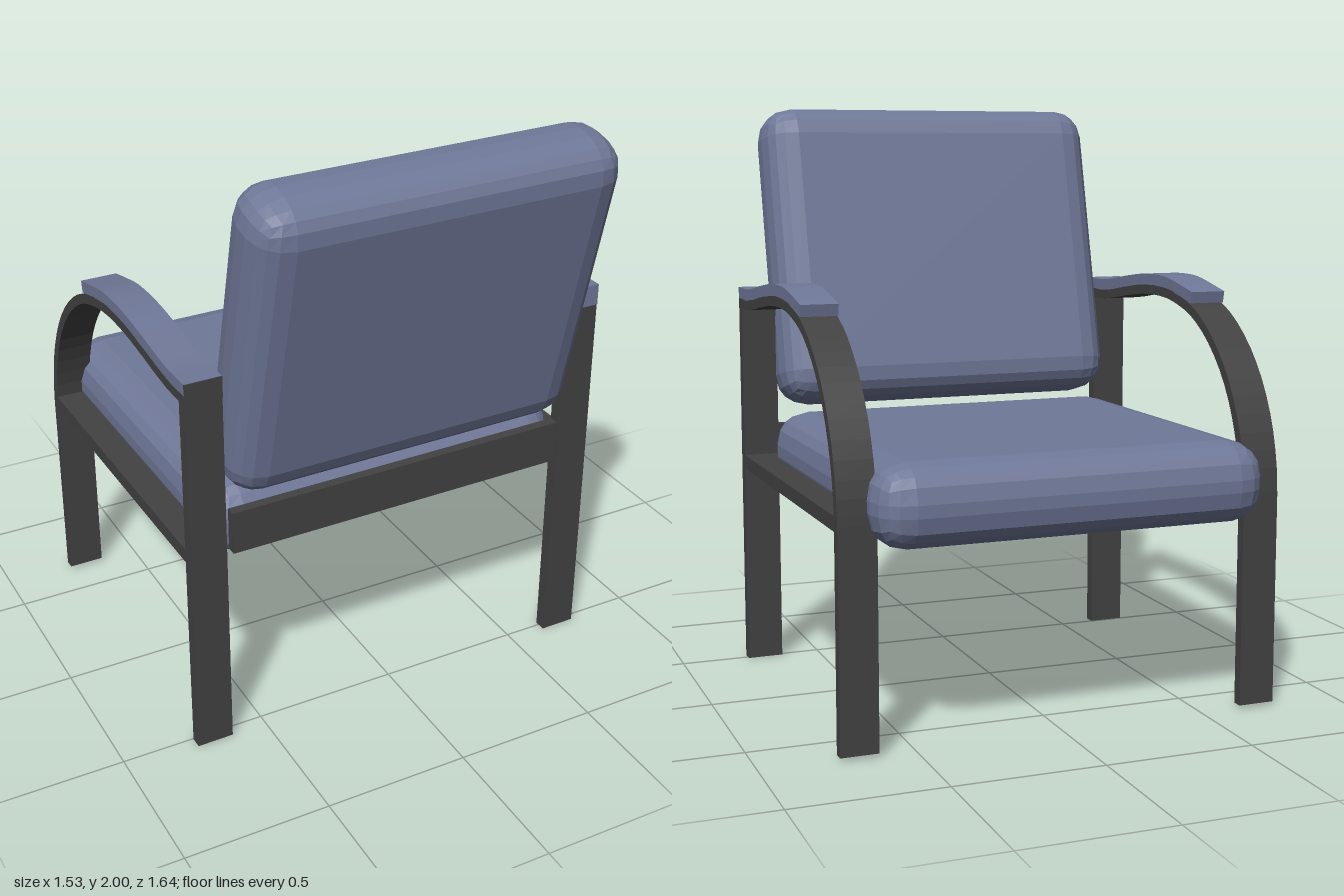
import * as THREE from 'three';
import { RoundedBoxGeometry } from 'three/addons/geometries/RoundedBoxGeometry.js';

const fabric = new THREE.MeshStandardMaterial({ color: 0x6f7898, flatShading: true });
const frame = new THREE.MeshStandardMaterial({ color: 0x424242, flatShading: true });

const ARM_X = 0.693, ARM_W = 0.126;

// Mesh with a name and a position
function part(name, geometry, material, x = 0, y = 0, z = 0) {
  const mesh = new THREE.Mesh(geometry, material);
  mesh.name = name;
  mesh.position.set(x, y, z);
  return mesh;
}

// Box given by its y and z limits
function bar(name, material, x, width, y0, y1, z0, z1) {
  const g = new THREE.BoxGeometry(width, y1 - y0, z1 - z0);
  return part(name, g, material, x, (y0 + y1) / 2, (z0 + z1) / 2);
}

// Flat strip: a side profile [z, y] thickened to its lower/inner side and extruded across x
function strip(name, material, points, thickness, x, width) {
  const curve = new THREE.CatmullRomCurve3(points.map(([z, y]) => new THREE.Vector3(z, y, 0)));
  const n = 26, outer = [], inner = [];
  for (let i = 0; i <= n; i++) {
    const p = curve.getPoint(i / n), t = curve.getTangent(i / n);
    outer.push(new THREE.Vector2(p.x, p.y));
    inner.push(new THREE.Vector2(p.x - t.y * thickness, p.y + t.x * thickness));
  }
  const shape = new THREE.Shape([...outer, ...inner.reverse()]);
  const g = new THREE.ExtrudeGeometry(shape, { depth: width, bevelEnabled: false });
  g.translate(0, 0, -width / 2).rotateY(-Math.PI / 2);
  return part(name, g, material, x);
}

// Outer line of the arm, from the back post over the top and down to the front leg
const armTop = [[0.535, 1.325], [0.4, 1.325], [0.2, 1.353], [0.05, 1.369], [-0.1, 1.367], [-0.2, 1.349], [-0.3, 1.318]];
const arc = [[-0.4, 1.262], [-0.5, 1.175], [-0.58, 1.07], [-0.64, 0.945], [-0.672, 0.82], [-0.681, 0.72]];
const padTop = armTop.map(([z, y]) => [z, y + 0.039]);
padTop[padTop.length - 1][1] = 1.366;

export function createModel() {
  const chair = new THREE.Group();
  chair.name = 'armchair';

  // Side frames with arm pads
  for (const side of [1, -1]) {
    const x = side * ARM_X;
    const g = new THREE.Group();
    g.name = side > 0 ? 'leftSide' : 'rightSide';
    g.add(bar('backLeg', frame, x, ARM_W, 0, 1.322, 0.494, 0.535));
    g.add(bar('frontLeg', frame, x, ARM_W, 0.012, 0.73, -0.681, -0.646));
    g.add(bar('sideRail', frame, x, ARM_W, 0.71, 0.758, -0.655, 0.5));
    g.add(strip('armBow', frame, [...armTop, ...arc], 0.034, x, ARM_W));
    g.add(strip('armPad', fabric, padTop, 0.04, x, ARM_W));
    g.add(bar('armEnd', side > 0 ? fabric : frame, x, ARM_W, 1.29, 1.363, 0.533, 0.538));
    chair.add(g);
  }

  // Rail between the back legs
  chair.add(bar('backRail', frame, 0.015, 1.24, 0.715, 0.865, 0.495, 0.53));

  // Cushions
  chair.add(part('seatCushion', new RoundedBoxGeometry(1.322, 0.27, 1.315, 2, 0.115), fabric, 0, 0.785, -0.158));
  const back = part('backCushion', new RoundedBoxGeometry(1.26, 1.082, 0.278, 2, 0.112), fabric, 0.005, 1.465, 0.575);
  back.rotation.x = 0.24;
  chair.add(back);

  // Slight turn of the whole chair
  chair.rotation.y = 0.011;
  const model = new THREE.Group();
  model.name = 'model';
  model.add(chair);
  return model;
}
